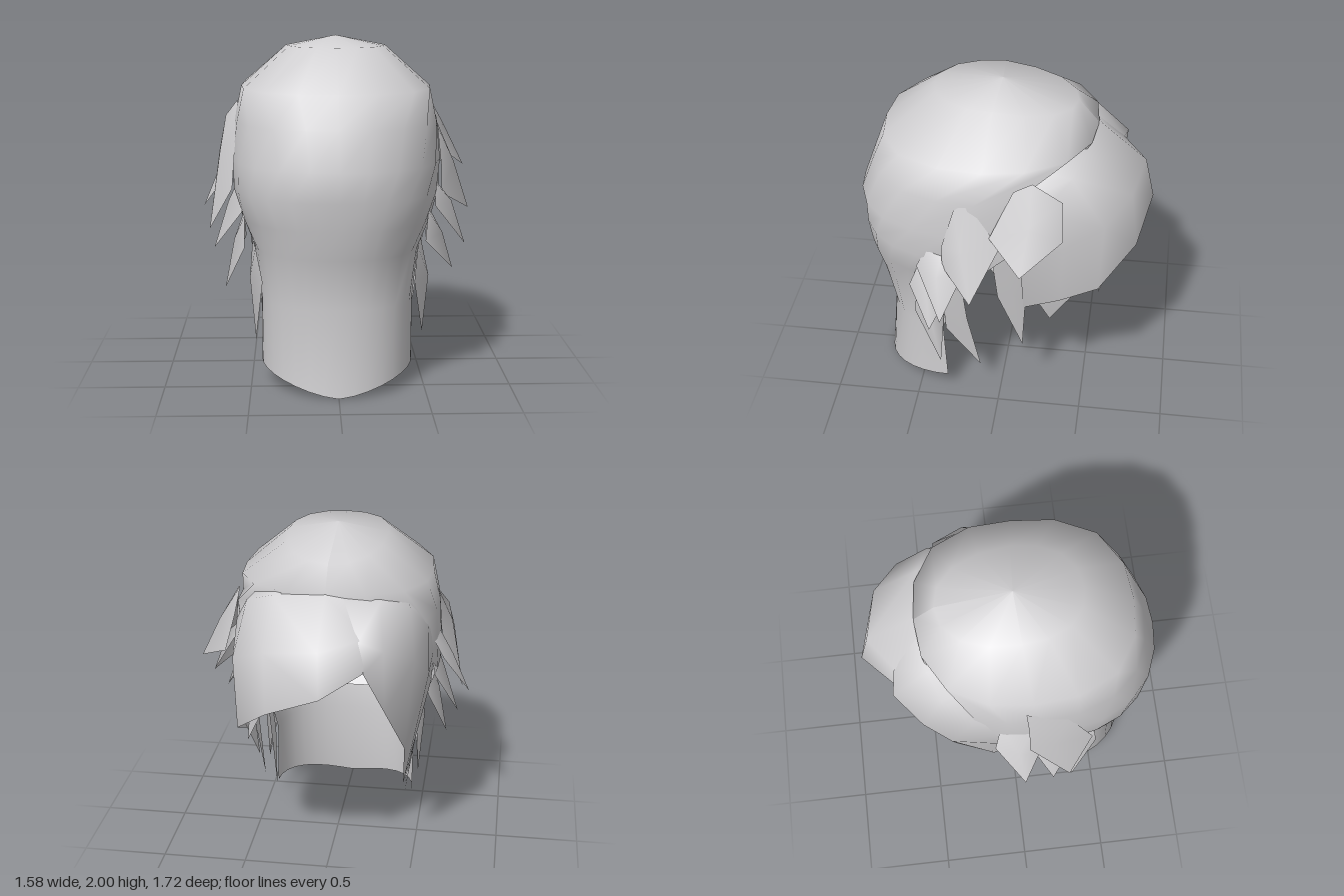
import * as THREE from 'three';

const hair = new THREE.MeshStandardMaterial({ color: 0xd0cfd1, side: THREE.DoubleSide });
hair.name = 'hair grey';

function build(name, points, index) {
  const g = new THREE.BufferGeometry();
  g.setAttribute('position', new THREE.Float32BufferAttribute(points.flat(), 3));
  g.setIndex(index);
  g.computeVertexNormals();
  const m = new THREE.Mesh(g, hair);
  m.name = name;
  return m;
}

// Smooth sheet through a grid of points (rows of equal length)
function sheet(name, rows, flip = false) {
  const n = rows[0].length, index = [];
  for (let i = 0; i < rows.length - 1; i++) {
    for (let j = 0; j < n - 1; j++) {
      const a = i * n + j, b = a + 1, c = a + n, d = c + 1;
      if (flip) index.push(a, b, c, b, d, c);
      else index.push(a, c, b, b, c, d);
    }
  }
  return build(name, rows.flat(), index);
}

// Pointed lock: a rim of points around a centre that bulges outward
function lock(name, rim, bulge = 0.06) {
  const n = rim.length, side = Math.sign(rim[0][0]);
  const c = [0, 1, 2].map(k => rim.reduce((s, p) => s + p[k], 0) / n);
  c[0] += side * bulge;
  const index = [];
  for (let i = 0; i < n; i++) {
    const j = (i + 1) % n;
    if (side > 0) index.push(n, j, i);
    else index.push(n, i, j);
  }
  return build(name, [...rim, c], index);
}

// Cap sections: y, half width, centre z, depth behind, depth ahead,
// sweep in degrees, squareness, rise of the front
const SECTIONS = [
  [2.0, 0.001, 0.03, 0.001, 0.001, 180, 0, 0],
  [1.945, 0.29, 0.05, 0.37, 0.45, 180, 0.04, -0.055],
  [1.71, 0.555, 0.08, 0.63, 0.6, 180, 0.08, 0.04],
  [1.52, 0.595, 0.08, 0.7, 0.6, 138, 0.07, 0],
  [1.3, 0.61, 0.1, 0.76, 0.6, 122, 0.06, 0],
  [1.13, 0.605, 0.1, 0.74, 0.6, 100, 0.07, 0],
  [0.97, 0.555, 0.14, 0.68, 0.4, 92, 0.07, 0],
  [0.8, 0.48, 0.23, 0.545, 0.3, 90, 0.05, 0],
  [0.5, 0.44, 0.34, 0.36, 0.3, 90, 0.03, 0],
  [0, 0.44, 0.32, 0.425, 0.3, 90, 0, 0],
];

function cap() {
  const rows = SECTIONS.map(([y, w, cz, back, ahead, sweep, square, rise], i) => {
    const row = [];
    for (let j = -8; j <= 8; j++) {
      const t = THREE.MathUtils.degToRad(sweep * j / 8);
      const r = 1 + square * Math.sin(2 * t) ** 2;
      const c = Math.cos(t) * r, s = Math.sin(t) * r;
      const lift = i === SECTIONS.length - 1 ? 0.115 * Math.abs(s) ** 1.3 : 0;
      row.push([w * s, y + lift + rise * Math.max(0, -c), cz + c * (c > 0 ? back : ahead)]);
    }
    return row;
  });
  return sheet('hairCap', rows);
}

// Lower rim of the scalp, curving in under the back of the cap: y, drop, width, z, depth
function scalpRim() {
  const rows = [[1.13, 0, 0.595, 0.1, 0.73], [1.06, 0.14, 0.56, 0.08, 0.62], [0.99, 0.25, 0.5, 0.08, 0.45]]
    .map(([y, drop, w, z, depth]) => Array.from({ length: 13 }, (_, j) => {
      const t = (j / 12 - 0.5) * Math.PI;
      return [w * Math.sin(t), y - drop * Math.cos(t), z + depth * Math.cos(t)];
    }));
  return sheet('scalpRim', rows);
}

export function createModel() {
  const model = new THREE.Group();
  model.name = 'hair';
  model.add(cap(), scalpRim());

  // Swept fringe: top edge tucked under the cap, seam, bulge, hem
  model.add(sheet('fringeLeft', [
    [[-0.2, 1.74, -0.4], [0, 1.77, -0.46], [0.25, 1.74, -0.33], [0.42, 1.67, -0.22], [0.53, 1.5, -0.1], [0.57, 1.35, 0.02]],
    [[-0.2, 1.71, -0.49], [0, 1.75, -0.53], [0.3, 1.72, -0.48], [0.46, 1.66, -0.41], [0.555, 1.48, -0.25], [0.58, 1.3, -0.05]],
    [[-0.24, 1.55, -0.63], [0, 1.52, -0.8], [0.31, 1.48, -0.74], [0.51, 1.38, -0.6], [0.56, 1.25, -0.38], [0.57, 1.12, -0.14]],
    [[-0.23, 1.36, -0.67], [-0.01, 1.27, -0.855], [0.3, 1.13, -0.78], [0.5, 0.94, -0.58], [0.5, 0.83, -0.36], [0.48, 0.74, -0.15]],
  ], true));
  model.add(sheet('fringeRight', [
    [[-0.05, 1.76, -0.45], [-0.25, 1.73, -0.33], [-0.42, 1.66, -0.22], [-0.53, 1.5, -0.1], [-0.57, 1.35, 0.02]],
    [[-0.1, 1.73, -0.51], [-0.3, 1.71, -0.48], [-0.46, 1.66, -0.41], [-0.555, 1.48, -0.25], [-0.58, 1.3, -0.05]],
    [[-0.2, 1.54, -0.66], [-0.34, 1.5, -0.68], [-0.5, 1.4, -0.53], [-0.57, 1.25, -0.38], [-0.57, 1.1, -0.12]],
    [[-0.23, 1.35, -0.66], [-0.34, 1.08, -0.56], [-0.44, 0.76, -0.36], [-0.42, 0.41, -0.15], [-0.53, 0.9, -0.04]],
  ]));

  // Outer locks, left side
  const left = [
    [[0.54, 1.66, -0.2], [0.57, 1.62, -0.1], [0.62, 1.33, 0.03], [0.79, 1.2, -0.16], [0.6, 1.33, -0.38], [0.54, 1.55, -0.37]],
    [[0.58, 1.53, 0.16], [0.59, 1.48, 0.23], [0.61, 1.24, 0.3], [0.61, 1.1, 0.3], [0.79, 0.98, 0.12], [0.62, 1.27, -0.03]],
    [[0.57, 1.18, 0.3], [0.56, 1.18, 0.4], [0.56, 1.05, 0.46], [0.75, 0.8, 0.3], [0.59, 1.08, 0.17]],
    [[0.52, 1.02, 0.46], [0.5, 0.86, 0.52], [0.67, 0.67, 0.38], [0.52, 0.84, 0.28], [0.53, 1.03, 0.36]],
    [[0.46, 0.82, 0.48], [0.44, 0.62, 0.51], [0.5, 0.28, 0.35], [0.46, 0.6, 0.33], [0.49, 0.84, 0.32]],
  ];
  // Outer locks, right side
  const right = [
    [[-0.56, 1.38, -0.1], [-0.64, 1.25, -0.14], [-0.79, 0.98, 0.02], [-0.67, 1.15, 0.11], [-0.58, 1.38, 0.08]],
    [[-0.58, 1.62, 0.04], [-0.65, 1.53, 0.05], [-0.69, 1.32, 0.05], [-0.74, 0.89, 0.29], [-0.6, 1.15, 0.43], [-0.58, 1.48, 0.28]],
    [[-0.55, 1.2, 0.1], [-0.58, 1.05, 0.06], [-0.72, 0.76, 0.2], [-0.55, 1.0, 0.36], [-0.57, 1.18, 0.28]],
    [[-0.53, 1.02, 0.26], [-0.53, 0.84, 0.24], [-0.65, 0.55, 0.33], [-0.53, 0.82, 0.48], [-0.53, 1.0, 0.46]],
    [[-0.49, 0.84, 0.32], [-0.46, 0.6, 0.33], [-0.475, 0.24, 0.34], [-0.43, 0.62, 0.5], [-0.47, 0.82, 0.48]],
  ];
  left.forEach((rim, i) => model.add(lock('lockLeft' + (i + 1), rim)));
  // rims run the other way round here, so reverse them to face outward
  right.forEach((rim, i) => model.add(lock('lockRight' + (i + 1), [...rim].reverse(), 0.04)));

  // Long thin locks beside the ears, mirrored
  const thin = [
    [[0.5, 0.95, 0.22], [0.5, 0.85, 0.33], [0.45, 0.5, 0.32], [0.41, 0.2, 0.12], [0.46, 0.6, 0.19]],
    [[0.56, 1.2, 0.03], [0.5, 0.82, 0.0], [0.43, 0.41, -0.14], [0.48, 0.75, -0.16], [0.55, 1.2, -0.14]],
  ];
  for (const s of [1, -1]) {
    const name = s > 0 ? 'Left' : 'Right';
    thin.forEach((rim, i) => {
      const pts = rim.map(([x, y, z]) => [x * s, y, z]);
      model.add(lock('thinLock' + name + (i + 1), s > 0 ? pts : pts.reverse(), 0.01));
    });
  }

  // Small stray tips under the left fringe
  model.add(lock('strayTipSide', [[0.5, 0.95, -0.15], [0.43, 0.63, -0.3], [0.48, 0.95, -0.5]], 0.01));
  model.add(lock('strayTipFront', [[0.42, 1.1, -0.6], [0.44, 0.87, -0.58], [0.3, 1.17, -0.72]], 0.01));
  return model;
}
